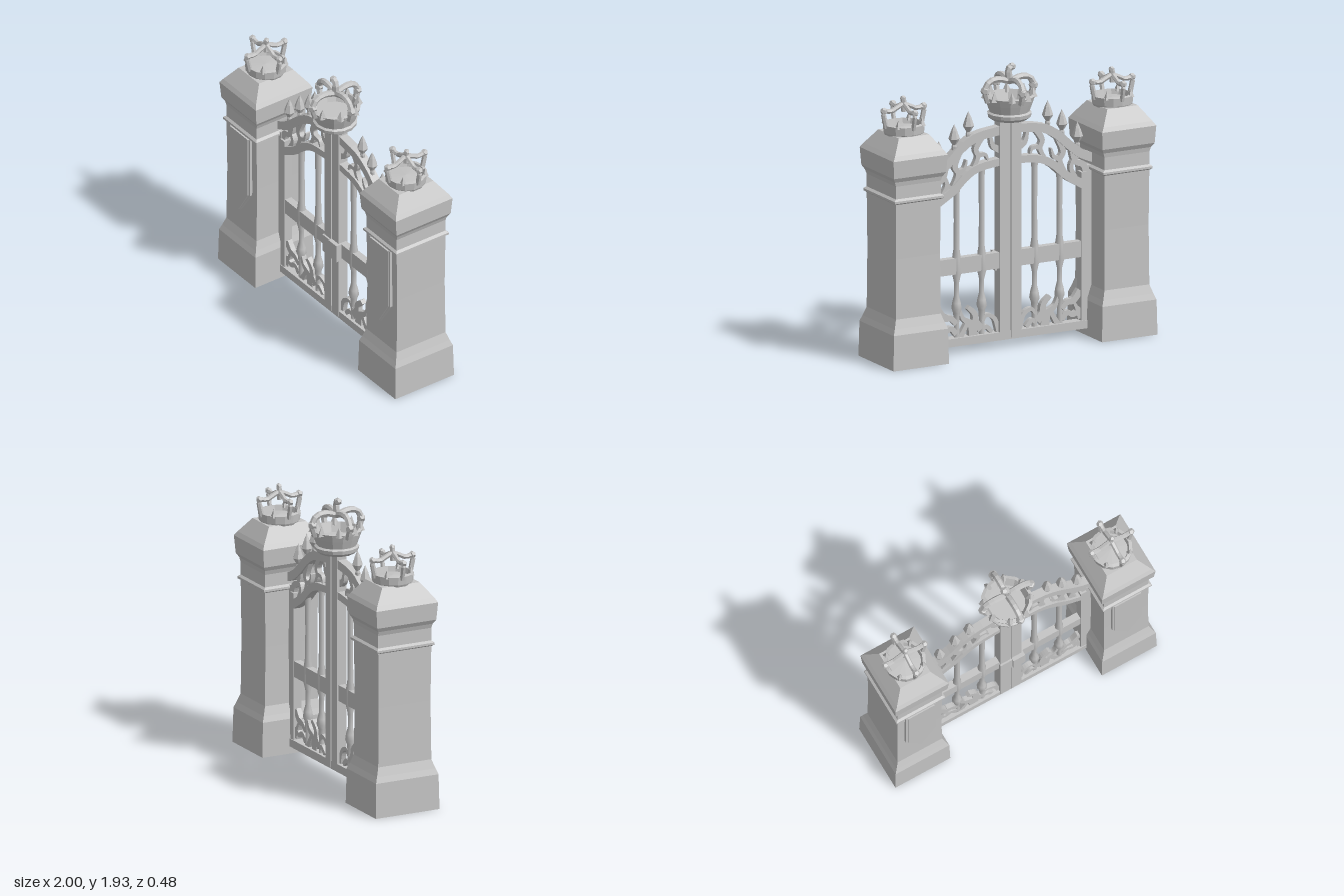
import * as THREE from 'three';

const stone = new THREE.MeshStandardMaterial({ color: 0xc4c4c4 });
stone.name = 'paleGrey';
const V2 = (p) => new THREE.Vector2(p[0], p[1]);

function flat(geo) {
  const g = geo.index ? geo.toNonIndexed() : geo;
  g.computeVertexNormals();
  return g;
}

function add(parent, name, geo, x = 0, y = 0, z = 0) {
  const m = new THREE.Mesh(geo, stone);
  m.name = name;
  m.position.set(x, y, z);
  parent.add(m);
  return m;
}

// box given by its limits in x and y, centred on z
function slab(parent, name, x0, x1, y0, y1, depth, z = 0) {
  return add(parent, name, new THREE.BoxGeometry(Math.abs(x1 - x0), y1 - y0, depth), (x0 + x1) / 2, (y0 + y1) / 2, z);
}

// rectangular loft through rows of [y, halfX, halfZ]
function loft(rows) {
  const pos = [];
  const c = [[1, 1], [1, -1], [-1, -1], [-1, 1]];
  const pt = (r, k) => [c[k % 4][0] * r[1], r[0], c[k % 4][1] * r[2]];
  const quad = (a, b, d, e) => pos.push(...a, ...b, ...d, ...a, ...d, ...e);
  for (let i = 0; i < rows.length - 1; i++)
    for (let k = 0; k < 4; k++)
      quad(pt(rows[i], k), pt(rows[i], k + 1), pt(rows[i + 1], k + 1), pt(rows[i + 1], k));
  const b = rows[0], t = rows[rows.length - 1];
  quad(pt(b, 3), pt(b, 2), pt(b, 1), pt(b, 0));
  quad(pt(t, 0), pt(t, 1), pt(t, 2), pt(t, 3));
  const g = new THREE.BufferGeometry();
  g.setAttribute('position', new THREE.Float32BufferAttribute(pos, 3));
  g.computeVertexNormals();
  return g;
}

function extrude(points, depth) {
  const g = new THREE.ExtrudeGeometry(new THREE.Shape(points), { depth, bevelEnabled: false });
  g.translate(0, 0, -depth / 2);
  return g;
}

// flat strip following a curve, its width going from w0 to w1
function ribbon(points, w0, w1, depth, s = 1) {
  const curve = new THREE.SplineCurve(points.map((p) => new THREE.Vector2(p[0] * s, p[1])));
  const n = 14, left = [], right = [];
  for (let i = 0; i <= n; i++) {
    const t = i / n, p = curve.getPoint(t), d = curve.getTangent(t), w = (w0 + (w1 - w0) * t) / 2;
    left.push(new THREE.Vector2(p.x - d.y * w, p.y + d.x * w));
    right.unshift(new THREE.Vector2(p.x + d.y * w, p.y - d.x * w));
  }
  return extrude([...left, ...right], depth);
}

// crown: bowl profile, four bent arms, rim points and a finial
function crown(name, profile, arm, armR, rim, finial) {
  const g = new THREE.Group();
  g.name = name;
  add(g, 'crownBowl', flat(new THREE.LatheGeometry(profile.map(V2), 14)));
  for (let k = 0; k < 4; k++) {
    const curve = new THREE.CatmullRomCurve3(arm.map((p) => new THREE.Vector3(p[0], p[1], 0)));
    add(g, 'crownArm', flat(new THREE.TubeGeometry(curve, 9, armR, 6))).rotation.y = k * Math.PI / 2;
    add(g, 'crownArmKnob', new THREE.DodecahedronGeometry(armR * 1.45), ...new THREE.Vector3(arm[1][0], arm[1][1], 0)
      .applyAxisAngle(new THREE.Vector3(0, 1, 0), k * Math.PI / 2).toArray());
  }
  for (let k = 0; k < rim.count; k++) {
    const a = (k + 0.5) / rim.count * Math.PI * 2;
    const m = add(g, 'rimPoint', flat(new THREE.ConeGeometry(rim.w, rim.h, 4)), Math.cos(a) * rim.r, rim.y, -Math.sin(a) * rim.r);
    m.rotation.y = a;
  }
  const tip = new THREE.CatmullRomCurve3(finial.map((p) => new THREE.Vector3(p[0], p[1], 0)));
  add(g, 'finial', flat(new THREE.TubeGeometry(tip, 5, armR * 1.1, 6)));
  add(g, 'finialTip', new THREE.DodecahedronGeometry(armR * 1.2), finial.at(-1)[0], finial.at(-1)[1], 0);
  return g;
}

function pillar(s) {
  const g = new THREE.Group();
  g.name = s > 0 ? 'leftPillar' : 'rightPillar';
  g.position.x = s * 0.79;
  add(g, 'pillarBody', loft([
    [0, 0.21, 0.24], [0.24, 0.205, 0.235], [0.28, 0.19, 0.22], [0.34, 0.17, 0.2], [0.75, 0.167, 0.195], [1.14, 0.17, 0.2],
    [1.25, 0.17, 0.2], [1.28, 0.18, 0.205], [1.31, 0.198, 0.222], [1.43, 0.205, 0.232], [1.46, 0.185, 0.215],
    [1.56, 0.115, 0.14],
  ]));
  add(g, 'ledge', loft([[1.125, 0.172, 0.2], [1.135, 0.187, 0.215], [1.15, 0.187, 0.215], [1.165, 0.168, 0.198]]));
  // pointed hanging panel with a raised border
  const panel = (k) => [[-0.115 * k, 1.13], [-0.115 * k, 0.68], [0, 0.595 - 0.09 * k], [0.115 * k, 0.68], [0.115 * k, 1.13]].map(V2);
  add(g, 'bannerBorder', extrude(panel(1), 0.04), 0, 0, 0.195);
  add(g, 'bannerField', extrude(panel(0.88), 0.04), 0, 0, 0.203);
  g.add(crown('smallCrown',
    [[0, 1.55], [0.13, 1.55], [0.137, 1.565], [0.142, 1.62], [0.12, 1.625], [0.11, 1.59], [0, 1.6]],
    [[0.132, 1.6], [0.15, 1.72], [0.1, 1.71], [0.045, 1.735], [0, 1.755]], 0.017,
    { count: 4, r: 0.127, y: 1.64, w: 0.025, h: 0.06 },
    [[0, 1.7], [0, 1.76], [0.005, 1.79]]));
  return g;
}

// one leaf of the gate, on side s
function gateLeaf(s) {
  const g = new THREE.Group();
  g.name = s > 0 ? 'leftGate' : 'rightGate';
  slab(g, 'meetingPost', s * 0.004, s * 0.08, 0.06, 1.56, 0.075);
  slab(g, 'hingeStile', s * 0.54, s * 0.585, 0.06, 1.12, 0.06);
  slab(g, 'hingePost', s * 0.585, s * 0.625, 0.1, 1.16, 0.04);
  slab(g, 'middleRail', s * 0.07, s * 0.56, 0.54, 0.65, 0.05);
  slab(g, 'bottomRail', 0, s * 0.585, 0.05, 0.105, 0.07);
  add(g, 'lowerArch', ribbon([[0.57, 1.03], [0.5, 1.07], [0.42, 1.12], [0.33, 1.2], [0.23, 1.25], [0.07, 1.27]], 0.06, 0.05, 0.06, s));
  add(g, 'upperArch', ribbon([[0.63, 1.21], [0.54, 1.25], [0.45, 1.32], [0.36, 1.4], [0.25, 1.46], [0.07, 1.485]], 0.06, 0.06, 0.06, s));

  // turned bars
  for (const [x, top] of [[0.2, 1.24], [0.39, 1.14]]) {
    const bar = [[0.02, 0.1], [0.018, 0.2], [0.024, 0.27], [0.036, 0.3], [0.03, 0.34], [0.017, 0.39], [0.018, 0.48], [0.032, 0.54],
      [0.03, 0.65], [0.021, 0.71], [0.019, 0.9], [0.021, top - 0.05], [0.027, top]];
    add(g, 'bar', new THREE.LatheGeometry(bar.map(V2), 8), s * x, 0, 0);
  }
  // spear heads standing on the upper arch
  for (const [x, y] of [[0.525, 1.29], [0.408, 1.39], [0.3, 1.465]]) {
    const spear = [[0.012, -0.05], [0.018, 0.02], [0.014, 0.035], [0.038, 0.075], [0.02, 0.13], [0, 0.175]];
    add(g, 'spearHead', flat(new THREE.LatheGeometry(spear.map(V2), 6)), s * x, y, 0);
  }
  // scrollwork between the arches: points, start width, end width
  const scrolls = [
    [[[0.59, 1.1], [0.56, 1.17], [0.5, 1.2], [0.47, 1.29]], 0.05, 0.03],
    [[[0.5, 1.09], [0.47, 1.16], [0.5, 1.22], [0.56, 1.24]], 0.035, 0.02],
    [[[0.42, 1.14], [0.385, 1.22], [0.41, 1.28], [0.37, 1.38]], 0.03, 0.045],
    [[[0.385, 1.23], [0.34, 1.25], [0.32, 1.31]], 0.04, 0.01],
    [[[0.27, 1.25], [0.235, 1.32], [0.25, 1.38], [0.2, 1.46]], 0.025, 0.045],
    [[[0.235, 1.33], [0.18, 1.33], [0.16, 1.29]], 0.035, 0.01],
    [[[0.07, 1.35], [0.12, 1.38], [0.14, 1.45]], 0.05, 0.02],
  ];
  // curling foliage above the bottom rail
  const foliage = [
    [[[0.08, 0.11], [0.11, 0.2], [0.17, 0.23], [0.2, 0.19]], 0.035, 0.02],
    [[[0.13, 0.11], [0.17, 0.15], [0.2, 0.14]], 0.03, 0.03],
    [[[0.21, 0.14], [0.25, 0.19], [0.26, 0.25], [0.31, 0.3]], 0.06, 0.03],
    [[[0.27, 0.1], [0.29, 0.18], [0.35, 0.23], [0.37, 0.29]], 0.07, 0.012],
    [[[0.37, 0.1], [0.34, 0.15], [0.31, 0.2], [0.28, 0.2]], 0.04, 0.02],
    [[[0.4, 0.2], [0.44, 0.24], [0.49, 0.25], [0.54, 0.31]], 0.035, 0.05],
    [[[0.4, 0.13], [0.44, 0.17], [0.49, 0.15], [0.54, 0.19]], 0.04, 0.03],
    [[[0.54, 0.12], [0.51, 0.2], [0.47, 0.27]], 0.04, 0.01],
  ];
  for (const [p, a, b] of scrolls) add(g, 'archScroll', ribbon(p, a, b, 0.035, s));
  for (const [p, a, b] of foliage) add(g, 'foliage', ribbon(p, a, b, 0.035, s));
  return g;
}

export function createModel() {
  const root = new THREE.Group();
  root.name = 'crownedGate';
  for (const s of [-1, 1]) root.add(pillar(s), gateLeaf(s));

  // seam filler and lock across the meeting posts
  slab(root, 'seam', -0.01, 0.01, 0.06, 1.56, 0.06);
  slab(root, 'lockBox', 0.005, 0.095, 0.52, 0.65, 0.06, 0.035);
  slab(root, 'latchPlate', -0.085, 0.005, 0.51, 0.64, 0.03, 0.035);

  const big = crown('largeCrown',
    [[0, 1.55], [0.12, 1.55], [0.145, 1.57], [0.15, 1.595], [0.135, 1.605], [0.155, 1.66], [0.172, 1.71], [0.15, 1.715], [0.125, 1.65], [0, 1.65]],
    [[0.16, 1.68], [0.182, 1.76], [0.155, 1.815], [0.09, 1.83], [0, 1.805]], 0.022,
    { count: 8, r: 0.157, y: 1.73, w: 0.032, h: 0.07 },
    [[0, 1.8], [0.005, 1.85], [0.005, 1.89], [-0.02, 1.905]]);
  big.position.x = -0.01;
  root.add(big);
  return root;
}
